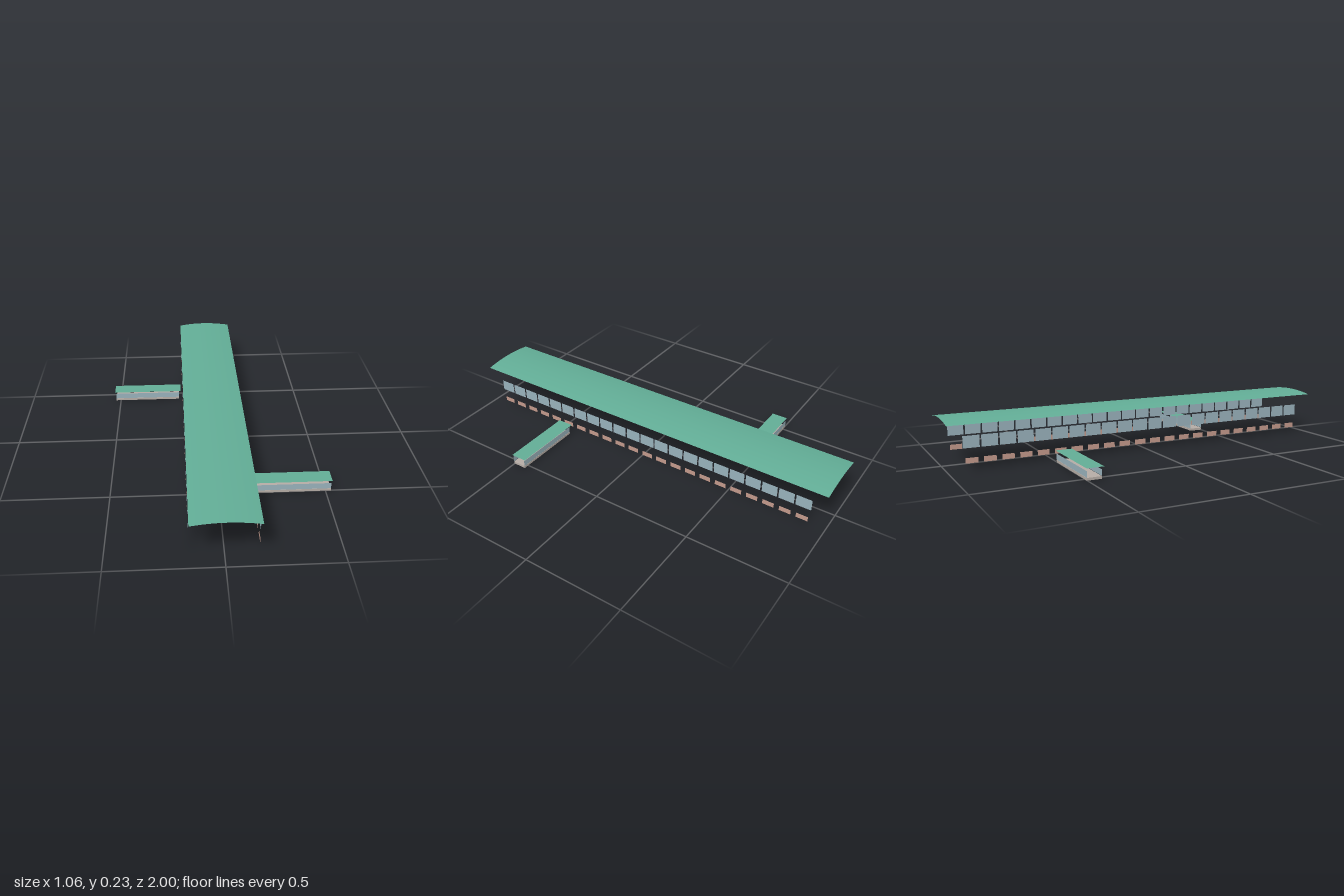
import * as THREE from 'three';

const mat = (name, color) => {
  const m = new THREE.MeshStandardMaterial({ color, side: THREE.DoubleSide });
  m.name = name;
  return m;
};

export function createModel() {
  const green = mat('roof green', 0x62ad96);
  const glass = mat('glass blue grey', 0x98b1bb);
  const brick = mat('brick', 0xc2998b);
  const concrete = mat('concrete', 0xb5aca5);
  const model = new THREE.Group();
  model.name = 'terminal';

  const add = (parent, name, geometry, material, x, y, z) => {
    const mesh = new THREE.Mesh(geometry, material);
    mesh.name = name;
    mesh.position.set(x, y, z);
    parent.add(mesh);
    return mesh;
  };

  // Long roof: a sheet bent into a shallow arch
  const halfWidth = 0.148, rise = 0.013;
  const roof = new THREE.PlaneGeometry(halfWidth * 2, 2, 20, 60).rotateX(-Math.PI / 2);
  const p = roof.attributes.position;
  for (let i = 0; i < p.count; i++) {
    const t = p.getX(i) / halfWidth;
    p.setY(i, rise * (1 - t * t));
  }
  roof.computeVertexNormals();
  add(model, 'mainRoof', roof, green, 0, 0.213, 0);

  // Rows of windows and brick panels on both sides
  const windowPane = new THREE.PlaneGeometry(0.076, 0.056);
  const brickPanel = new THREE.PlaneGeometry(0.058, 0.025);
  for (const side of [1, -1]) {
    const wall = new THREE.Group();
    wall.name = side > 0 ? 'leftWall' : 'rightWall';
    for (let i = 0; i < 22; i++) {
      const z = 0.87 - i * 0.084;
      const pane = add(wall, 'window', windowPane, glass, side * 0.149, 0.135, z);
      const panel = add(wall, 'brickPanel', brickPanel, brick, side * 0.149, 0.05, z);
      pane.rotation.y = panel.rotation.y = side * Math.PI / 2;
    }
    model.add(wall);
  }

  // Boarding bridges, one on each side, turned half way round from each other
  for (const side of [1, -1]) {
    const bridge = new THREE.Group();
    bridge.name = side > 0 ? 'leftBridge' : 'rightBridge';
    add(bridge, 'bridgeRoof', new THREE.PlaneGeometry(0.37, 0.082).rotateX(-Math.PI / 2),
      green, 0.345, 0.055, 0.463);
    add(bridge, 'bridgeFloor', new THREE.BoxGeometry(0.357, 0.012, 0.07),
      concrete, 0.347, 0.006, 0.467);
    for (const s of [1, -1]) {
      add(bridge, 'bridgeWindow', new THREE.PlaneGeometry(0.357, 0.029),
        glass, 0.347, 0.0275, 0.467 + s * 0.035);
    }
    if (side < 0) bridge.rotation.y = Math.PI;
    model.add(bridge);
  }
  return model;
}
